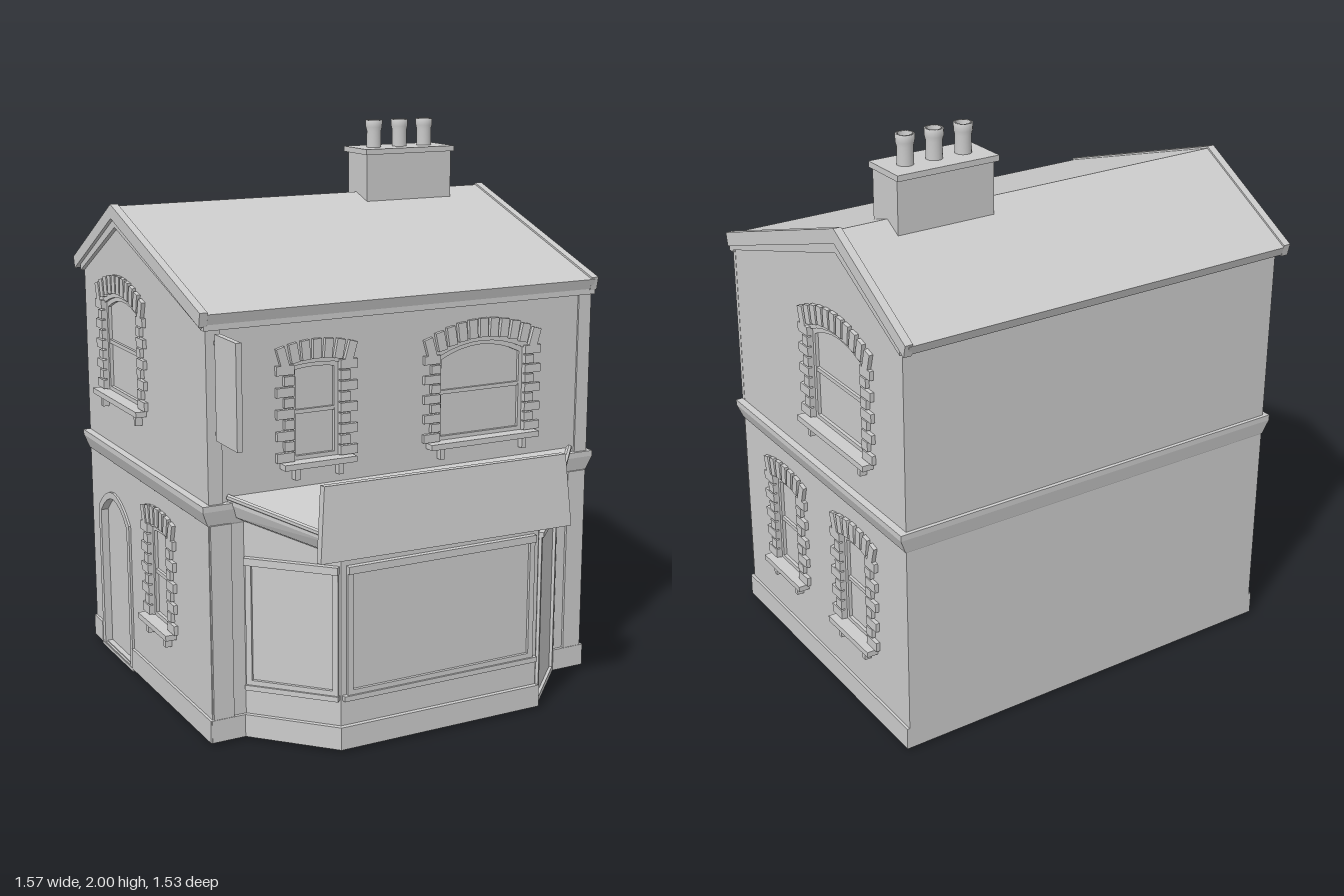
import * as THREE from 'three';

const mat = new THREE.MeshStandardMaterial({ color: 0xcccccc, flatShading: true });
const thin = new THREE.MeshStandardMaterial({ color: 0xcccccc, flatShading: true, side: THREE.DoubleSide });
const smooth = new THREE.MeshStandardMaterial({ color: 0xcccccc, side: THREE.DoubleSide });

function add(parent, name, geo, x = 0, y = 0, z = 0, m = mat) {
  const mesh = new THREE.Mesh(geo, m);
  mesh.name = name;
  mesh.position.set(x, y, z);
  parent.add(mesh);
  return mesh;
}

// Box given by its limits
function box(parent, name, x0, x1, y0, y1, z0, z1) {
  return add(parent, name, new THREE.BoxGeometry(x1 - x0, y1 - y0, z1 - z0),
    (x0 + x1) / 2, (y0 + y1) / 2, (z0 + z1) / 2);
}

function space(parent, name, x = 0, y = 0, z = 0, turn = 0) {
  const g = new THREE.Group();
  g.name = name;
  g.position.set(x, y, z);
  g.rotation.y = turn;
  parent.add(g);
  return g;
}

const poly = pts => new THREE.Shape(pts.map(p => new THREE.Vector2(...p)));
const extrude = (shape, depth) =>
  new THREE.ExtrudeGeometry(shape, { depth, bevelEnabled: false, curveSegments: 8 });

// Skin over rows of points, bottom row first, running left to right
function loft(rows, closed = false) {
  const pos = [], n = rows[0].length;
  for (let r = 0; r + 1 < rows.length; r++)
    for (let i = 0; i < (closed ? n : n - 1); i++) {
      const j = (i + 1) % n, a = rows[r][i], b = rows[r][j], c = rows[r + 1][j], d = rows[r + 1][i];
      pos.push(...a, ...b, ...c, ...a, ...c, ...d);
    }
  const g = new THREE.BufferGeometry();
  g.setAttribute('position', new THREE.Float32BufferAttribute(pos, 3));
  g.computeVertexNormals();
  return g;
}

// Opening outline with a shallow arched head
function arch(Type, cx, w, y0, spring, rise) {
  const p = new Type(), a = cx - w / 2, b = cx + w / 2;
  p.moveTo(a, y0);
  p.lineTo(b, y0);
  p.lineTo(b, spring);
  p.quadraticCurveTo(cx, spring + rise * 2, a, spring);
  p.lineTo(a, y0);
  return p;
}

// Arched or square border of width t
function border(w, y0, spring, rise, t) {
  const s = arch(THREE.Shape, 0, w, y0, spring, rise);
  s.holes.push(arch(THREE.Path, 0, w - 2 * t, y0 + t, spring - t, rise));
  return s;
}

// Sash window with quoins, fanned head stones, sill and brackets
function windowAt(wall, { c, w, y0, spring, rise, n }) {
  const g = space(wall, 'window', c);
  add(g, 'sashFrame', extrude(border(w, y0, spring, rise, 0.014), 0.012));
  const mid = (y0 + spring + rise) / 2;
  box(g, 'meetingRail', -w / 2, w / 2, mid - 0.007, mid + 0.007, 0, 0.01);
  const rows = 9, step = (spring - y0 + 0.01) / rows;
  for (const s of [-1, 1]) {
    for (let i = 0; i < rows; i++) {
      const len = i % 2 ? 0.036 : 0.064;
      add(g, 'quoin', new THREE.BoxGeometry(len, step * 0.86, 0.026), s * (w / 2 + len / 2), y0 + step * (i + 0.5), 0.021);
    }
    const bx = s * (w / 2 - 0.005);
    box(g, 'sillBracket', bx - 0.009, bx + 0.009, y0 - 0.06, y0 - 0.02, 0.015, 0.045);
  }
  for (let i = 0; i < n; i++) {
    const t = (2 * i) / (n - 1) - 1;
    const stone = add(g, 'headStone', new THREE.BoxGeometry((w + 0.07) / n * 0.88, 0.066, 0.026),
      t * (w / 2 + 0.04), spring + (rise + 0.012) * (1 - t * t) + 0.036, 0.021);
    stone.rotation.z = -t * 0.28;
  }
  box(g, 'sill', -w / 2 - 0.048, w / 2 + 0.048, y0 - 0.02, y0, 0, 0.06);
}

// Wall plate pierced by its openings
function wallWith(group, shape, windows) {
  for (const o of windows) shape.holes.push(arch(THREE.Path, o.c, o.w, o.y0, o.spring, o.rise));
  add(group, 'wall', extrude(shape, 0.02));
  windows.forEach(o => windowAt(group, o));
}

// House walls, plinth and string course
function buildHouse(root) {
  const gable = s => [[-0.42 * s, 0.01], [0.72 * s, 0.01], [0.72 * s, 1.49], [0.34 * s, 1.7], [-0.42 * s, 1.455]];
  const core = space(root, 'core', -0.725, 0, 0, Math.PI / 2);
  add(core, 'innerBlock', extrude(poly([[-0.4, 0.01], [0.72, 0.01], [0.72, 1.48], [0.34, 1.69], [-0.4, 1.45]]), 1.45));

  const small = (c, y0) => ({ c, w: 0.172, y0, spring: y0 + 0.335, rise: 0.006, n: 7 });
  const large = (c, y0, h = 0.325) => ({ c, w: 0.345, y0, spring: y0 + h, rise: 0.04, n: 11 });

  const right = space(root, 'rightWall', 0.725, 0, 0, Math.PI / 2);
  wallWith(right, poly(gable(1)), [large(0.305, 1.0), small(-0.1, 0.29), small(0.385, 0.29)]);

  const left = space(root, 'leftWall', -0.725, 0, 0, -Math.PI / 2);
  const leftShape = poly(gable(-1));
  leftShape.holes.push(arch(THREE.Path, -0.47, 0.28, 0.02, 0.55, 0.075));
  wallWith(left, leftShape, [large(-0.335, 1.04), small(-0.02, 0.29)]);
  const door = space(left, 'sideDoor', -0.47);
  const trim = arch(THREE.Shape, 0, 0.32, 0.012, 0.565, 0.085);
  trim.holes.push(arch(THREE.Path, 0, 0.27, 0.016, 0.55, 0.075));
  add(door, 'doorTrim', extrude(trim, 0.028));
  box(door, 'threshold', -0.165, 0.165, 0, 0.012, 0, 0.03);

  const front = space(root, 'frontWall', 0, 0, 0.4);
  wallWith(front, poly([[-0.725, 0.01], [0.725, 0.01], [0.725, 1.455], [-0.725, 1.455]]),
    [{ ...small(-0.35, 0.95), spring: 1.272 }, large(0.295, 0.95, 0.3)]);

  box(root, 'plinth', 0.74, 0.755, 0.01, 0.09, -0.72, 0.43);
  box(root, 'plinth', -0.755, -0.74, 0.01, 0.09, -0.31, 0.43);
  box(root, 'plinth', -0.755, -0.74, 0.01, 0.09, -0.72, -0.63);
  for (const s of [-1, 1]) {
    box(root, 'plinth', s * 0.685 - 0.065, s * 0.685 + 0.065, 0.01, 0.09, 0.41, 0.432);
    box(root, 'shopPilaster', s * 0.705 - 0.037, s * 0.705 + 0.037, 0.09, 0.77, 0.41, 0.43);
    box(root, 'cornerPilaster', s * 0.72 - 0.026, s * 0.72 + 0.026, 0.84, 1.43, 0.41, 0.427);
  }
  const rect = (o, y) => {
    const x = 0.743 + o, f = 0.42 + o * 0.5, b = -0.719 - o * 0.4;
    return [[-x, y, f], [x, y, f], [x, y, b], [-x, y, b]];
  };
  add(root, 'stringCourse', loft([rect(0, 0.765), rect(0.006, 0.77), rect(0.026, 0.82),
    rect(0.026, 0.84), rect(0, 0.843)], true));
}

// Roof, barge boards and chimney
function buildRoof(root) {
  const roof = space(root, 'roof', 0, 0, 0, Math.PI / 2);
  const slab = (e, t) => poly([[-0.45, 1.475 + e], [-0.44, 1.475 - t], [0.34, 1.732 - t], [0.75, 1.5 - t],
    [0.76, 1.495 + e], [0.34, 1.735 + e]]);
  add(roof, 'roofSlab', extrude(slab(0, 0.035), 1.49), 0, 0, -0.745);
  for (const x of [-0.773, 0.731]) add(roof, 'bargeBoard', extrude(slab(0.007, 0.04), 0.028), 0, 0, x);
  for (const x of [-0.76, 0.735]) add(roof, 'underBoard', extrude(
    poly([[-0.42, 1.425], [0.34, 1.66], [0.72, 1.455], [0.72, 1.49], [0.34, 1.71], [-0.42, 1.46]]), 0.02), 0, 0, x);
  box(root, 'gutterBoard', -0.755, 0.755, 1.42, 1.465, 0.41, 0.437);

  const chimney = space(root, 'chimney');
  box(chimney, 'stack', 0.205, 0.565, 1.6, 1.88, -0.405, -0.255);
  box(chimney, 'cap', 0.195, 0.572, 1.88, 1.9, -0.42, -0.243);
  const pot = new THREE.LatheGeometry([[0.028, 1.89], [0.027, 1.96], [0.031, 1.975], [0.032, 2], [0.023, 2], [0.021, 1.905], [0, 1.905]]
    .map(p => new THREE.Vector2(...p)), 20);
  for (const x of [0.275, 0.384, 0.491]) add(chimney, 'chimneyPot', pot, x, 0, -0.332, smooth);
}

// Canted shop bay with canopy
function buildShop(root) {
  const shop = space(root, 'shopBay');
  const ring = (bx, bz, fx, fz, yb, yf = yb) =>
    [[-bx, yb, bz], [-fx, yf, fz], [fx, yf, fz], [bx, yb, bz]];
  add(shop, 'bayWalls', loft([ring(0.62, 0.42, 0.385, 0.665, 0.01), ring(0.62, 0.42, 0.385, 0.665, 0.77, 0.68)]), 0, 0, 0, thin);
  const [A, B, C, D] = ring(0.675, 0.42, 0.42, 0.7, 0.86, 0.757);
  add(shop, 'canopy', loft([ring(0.62, 0.42, 0.385, 0.665, 0.77, 0.68), ring(0.655, 0.42, 0.405, 0.685, 0.79, 0.695),
    ring(0.675, 0.42, 0.42, 0.7, 0.835, 0.737), [A, B, C, D]]), 0, 0, 0, thin);
  add(shop, 'canopyTop', loft([[B, C], [A, D]]), 0, 0, 0, thin);
  for (const [p, q] of [[A, B], [C, D]]) {
    const path = new THREE.LineCurve3(new THREE.Vector3(...p), new THREE.Vector3(...q));
    add(shop, 'canopyEdge', new THREE.TubeGeometry(path, 1, 0.01, 6), 0, 0, 0, thin);
  }

  // Curb stops at the doorway
  const curb = (bx, fx, fz, y) => ring(bx, 0.42, fx, fz, y).slice(0, 3);
  add(shop, 'curb', loft([curb(0.64, 0.392, 0.682, 0.01), curb(0.64, 0.392, 0.682, 0.09),
    curb(0.62, 0.385, 0.665, 0.09)]), 0, 0, 0, thin);

  const panel = (g, w, y0, y1) => add(g, 'frame', extrude(border(w, y0, y1, 0, 0.02), 0.012), 0, 0, -0.001);
  const front = space(shop, 'shopWindow', 0, 0, 0.665);
  panel(front, 0.73, 0.195, 0.645);
  box(front, 'windowHead', -0.365, 0.365, 0.622, 0.648, 0, 0.02);
  box(front, 'windowLedge', -0.38, 0.38, 0.18, 0.198, 0, 0.018);
  const angle = Math.atan2(0.245, 0.235);
  const side = space(shop, 'sideShopWindow', -0.5025, 0, 0.5425, -angle);
  panel(side, 0.325, 0.195, 0.645);
  box(side, 'windowHead', -0.165, 0.165, 0.622, 0.648, 0, 0.02);
  box(side, 'windowLedge', -0.165, 0.165, 0.18, 0.198, 0, 0.018);
  const door = space(shop, 'shopDoor', 0.5025, 0, 0.5425, angle);
  panel(door, 0.325, 0.012, 0.64);
  box(door, 'doorHead', -0.165, 0.165, 0.63, 0.648, 0, 0.018);

  // Fascia board leaning back, slightly skewed
  const board = space(shop, 'fasciaBoard', -0.02, 0.815, 0.725, -0.028);
  const face = poly([[-0.475, -0.125], [0.47, -0.125], [0.455, 0.125], [-0.45, 0.125]]);
  add(board, 'board', extrude(face, 0.032), 0, 0, -0.016).rotation.x = -0.1;

  // Hanging board on two arms
  const hanging = space(root, 'hangingBoard');
  box(hanging, 'panel', -0.722, -0.702, 1.06, 1.41, 0.445, 0.61);
  for (const y of [1.08, 1.378]) box(hanging, 'arm', -0.717, -0.707, y - 0.006, y + 0.006, 0.41, 0.45);
}

export function createModel() {
  const root = new THREE.Group();
  root.name = 'cornerShop';
  buildHouse(root);
  buildRoof(root);
  buildShop(root);
  return root;
}
